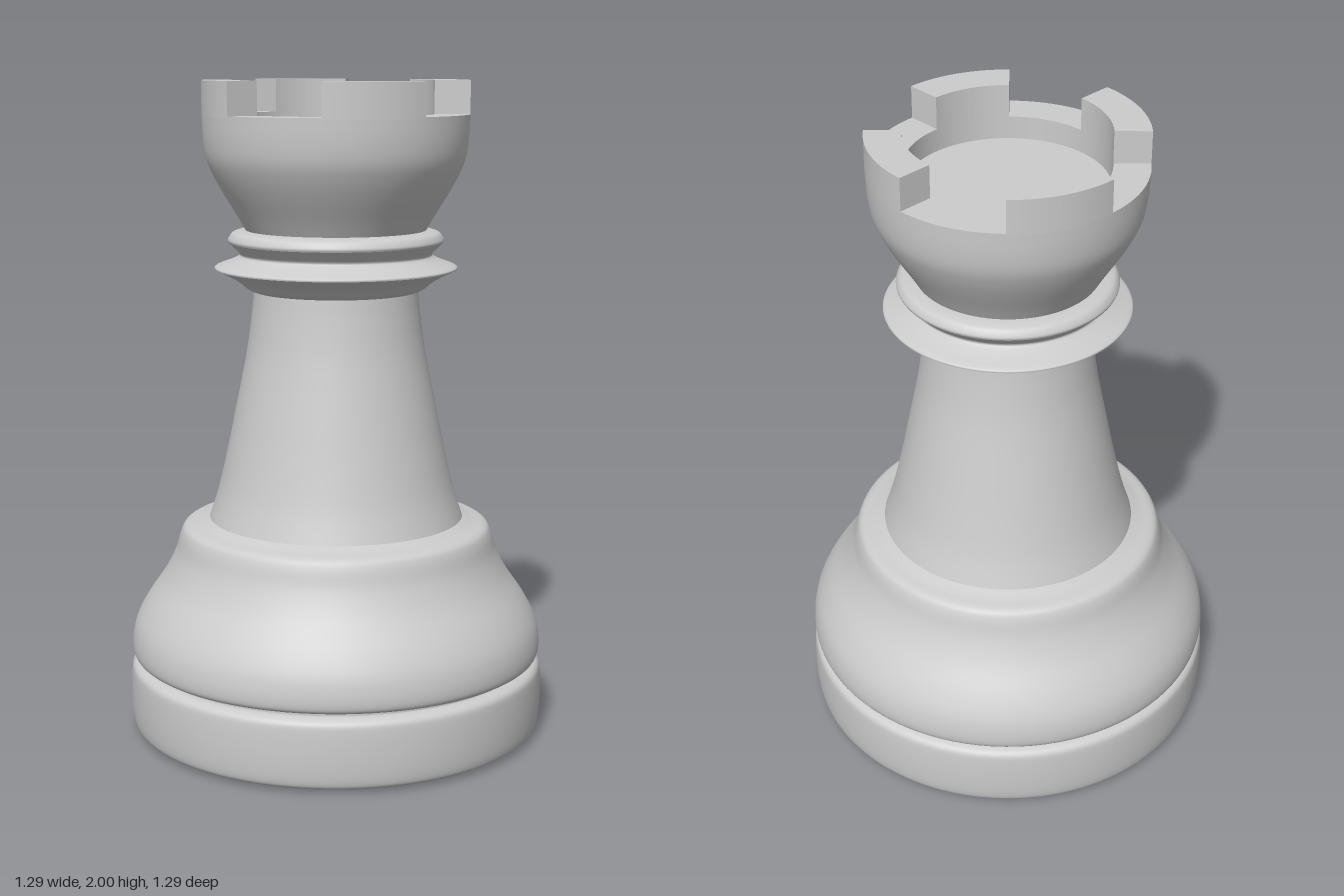
import * as THREE from 'three';
import { toCreasedNormals } from 'three/addons/utils/BufferGeometryUtils.js';

const SEGMENTS = 96;

export function createModel() {
  const group = new THREE.Group();
  const grey = new THREE.MeshStandardMaterial({ color: 0xcccccc });
  grey.name = 'lightGrey';

  const add = (name, geometry) => {
    const mesh = new THREE.Mesh(geometry, grey);
    mesh.name = name;
    group.add(mesh);
    return mesh;
  };

  // Turned part from [radius, y] pairs; smooth ones follow a spline
  const turned = (name, profile, smooth = true) => {
    let points = profile.map(([r, y]) => new THREE.Vector2(r, y));
    if (smooth) points = new THREE.SplineCurve(points).getPoints(profile.length * 4);
    return add(name, new THREE.LatheGeometry(points, SEGMENTS));
  };

  // Foot disc and the rounded band above it
  turned('underside', [[0, 0], [0.595, 0.006]], false);
  turned('footBand', [
    [0.595, 0.006], [0.625, 0.014], [0.638, 0.035], [0.643, 0.1],
    [0.641, 0.185], [0.634, 0.212], [0.615, 0.223], [0.6, 0.225],
  ]);
  turned('footGroove', [[0.6, 0.225], [0.6, 0.237]], false);

  // Swelling base with a soft shoulder
  turned('base', [
    [0.6, 0.237], [0.625, 0.24], [0.636, 0.258], [0.635, 0.3], [0.622, 0.35],
    [0.59, 0.41], [0.535, 0.49], [0.5, 0.56], [0.482, 0.62], [0.465, 0.645],
    [0.425, 0.656], [0.392, 0.668],
  ]);

  // Tapering shaft
  turned('shaft', [
    [0.392, 0.668], [0.363, 0.76], [0.335, 0.88], [0.31, 1.0],
    [0.274, 1.18], [0.257, 1.3], [0.25, 1.37],
  ]);

  // Wide sharp collar, then a narrower ring
  turned('collarUnderside', [
    [0.245, 1.368], [0.27, 1.378], [0.3, 1.402], [0.335, 1.422], [0.368, 1.437],
  ]);
  turned('collarTop', [
    [0.368, 1.437], [0.365, 1.445], [0.33, 1.458], [0.298, 1.473],
    [0.292, 1.483], [0.305, 1.498], [0.325, 1.517],
  ]);
  turned('neckRing', [
    [0.325, 1.517], [0.327, 1.527], [0.315, 1.545], [0.295, 1.552], [0.274, 1.555],
  ]);

  // Flared cup, open rim and sunken floor
  turned('cup', [
    [0.274, 1.555], [0.3, 1.6], [0.34, 1.665], [0.37, 1.72],
    [0.39, 1.77], [0.399, 1.83], [0.402, 1.9],
  ]);
  turned('rim', [[0.402, 1.9], [0.295, 1.9]], false);
  turned('rimWall', [[0.295, 1.9], [0.295, 1.83]], false);
  turned('floor', [[0.295, 1.83], [0, 1.83]], false);

  // Four battlements centred on the x and z axes
  const half = Math.PI / 8;
  const sector = new THREE.Shape();
  sector.absarc(0, 0, 0.402, -half, half, false);
  sector.absarc(0, 0, 0.295, half, -half, true);
  sector.closePath();
  const block = toCreasedNormals(
    new THREE.ExtrudeGeometry(sector, { depth: 0.105, bevelEnabled: false, curveSegments: 24 })
      .rotateX(-Math.PI / 2)
      .translate(0, 1.895, 0),
    0.5,
  );
  for (let i = 0; i < 4; i++) {
    add('battlement', block).rotation.y = (i * Math.PI) / 2;
  }

  return group;
}
